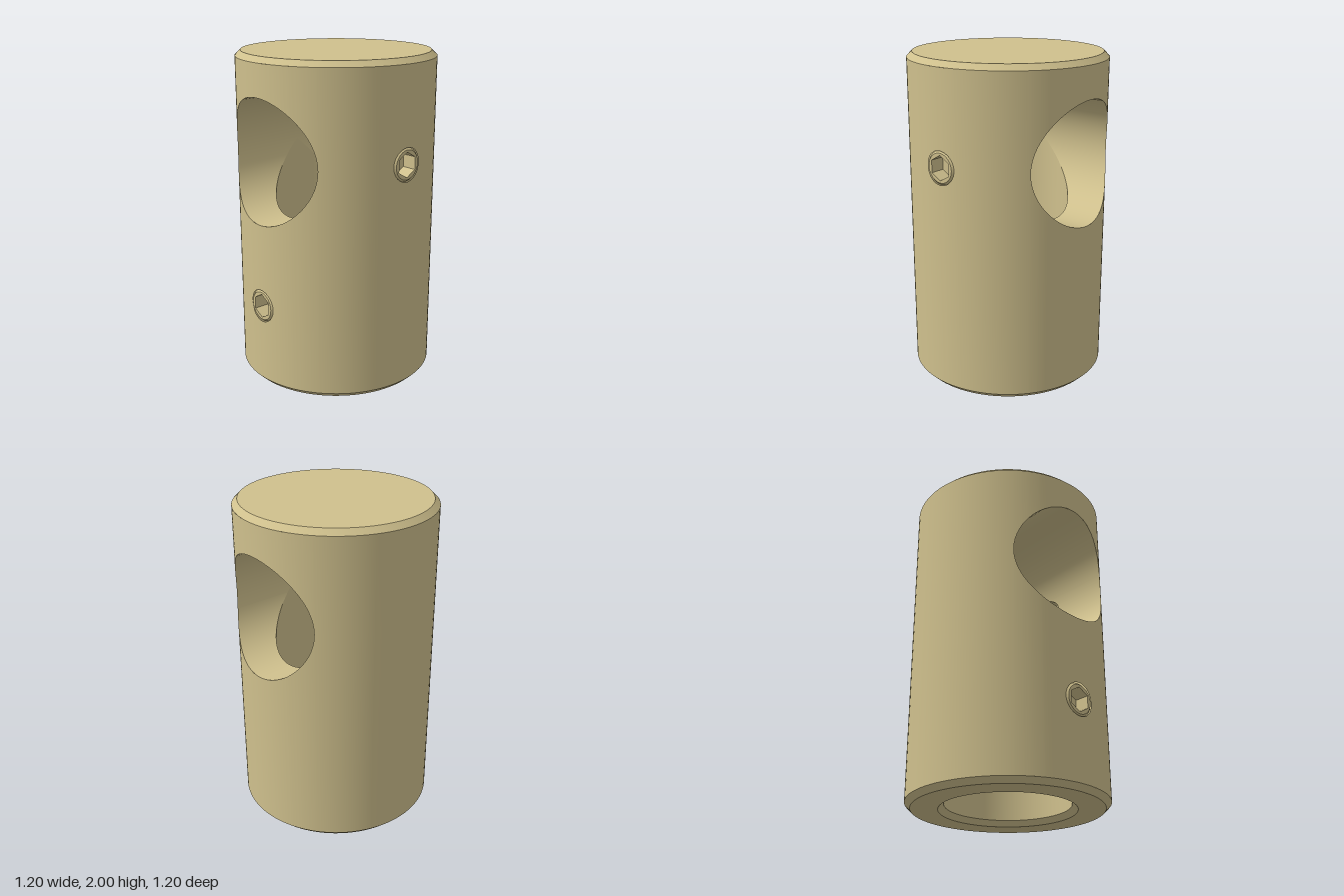
import * as THREE from 'three';
import { mergeGeometries, toCreasedNormals } from 'three/addons/utils/BufferGeometryUtils.js';

const R = 0.6;        // outer radius
const B = 0.373;      // radius of both bores
const C = 0.033;      // chamfer
const S = 0.1;        // set screw radius
const CROSS_Y = 1.4;  // height of cross bore and side screw
const SCREW_Y = 0.515; // height of front screw
const SEAT = 0.44;    // distance of the screw's inner end from the axis

const root = (v) => Math.sqrt(Math.max(0, v));

// Sorted angles round a cylinder, refined where holes [centre angle, hole radius] cut it
function angles(radius, holes) {
  const list = [];
  for (let i = 0; i <= 96; i++) list.push((i / 96) * Math.PI * 2);
  for (const [centre, r] of holes) {
    for (let i = -16; i <= 16; i++) {
      const a = centre + Math.asin((r / radius) * Math.sin((i / 32) * Math.PI));
      list.push((a + Math.PI * 2) % (Math.PI * 2));
    }
  }
  list.sort((a, b) => a - b);
  return list.filter((a, i) => i === 0 || a - list[i - 1] > 1e-5);
}

// Half height of a round hole at angle a on a cylinder
function half(a, radius, centre, r) {
  if (Math.cos(a - centre) <= 0) return 0;
  return root(r * r - (radius * Math.sin(a - centre)) ** 2);
}

// Ruled surface between two edge curves over a list of angles
function strip(list, from, to) {
  const pos = [], index = [];
  list.forEach((a, i) => {
    pos.push(...from(a), ...to(a));
    if (i) {
      const k = i * 2;
      index.push(k - 2, k, k - 1, k, k + 1, k - 1);
    }
  });
  const g = new THREE.BufferGeometry();
  g.setAttribute('position', new THREE.Float32BufferAttribute(pos, 3));
  g.setIndex(index);
  return g;
}

// Band of an upright cylinder between two heights that depend on the angle
function band(list, radius, lo, hi) {
  const at = (y) => (a) => [radius * Math.sin(a), y(a), radius * Math.cos(a)];
  return strip(list, at(lo), at(hi));
}

function join(parts) {
  const clean = parts.map((p) => {
    const g = p.index ? p.toNonIndexed() : p;
    g.deleteAttribute('uv');
    g.deleteAttribute('normal');
    return g;
  });
  return toCreasedNormals(mergeGeometries(clean), 0.6);
}

function lathe(points) {
  return new THREE.LatheGeometry(points.map(([x, y]) => new THREE.Vector2(x, y)), 96);
}

// Outer wall with openings for the cross bore and both screws
function outerWall() {
  const q = Math.PI / 2;
  const list = angles(R, [[0, B], [Math.PI, B], [0, S], [q, S]]);
  const screw = (a) => half(a, R, 0, S);
  const bore = (a) => Math.max(half(a, R, 0, B), half(a, R, Math.PI, B), half(a, R, q, S));
  return join([
    band(list, R, () => C, (a) => SCREW_Y - screw(a)),
    band(list, R, (a) => SCREW_Y + screw(a), (a) => CROSS_Y - bore(a)),
    band(list, R, (a) => CROSS_Y + bore(a), () => 2 - C),
    lathe([[B, C], [B + C, 0], [R - C, 0], [R, C]]),
    lathe([[R, 2 - C], [R - C, 2], [0, 2]]),
  ]);
}

// Vertical bore, running up into the cross bore
function verticalBore() {
  const q = Math.PI / 2;
  const list = angles(B, [[0, S], [q, S]]);
  const screw = (a) => half(a, B, 0, S);
  const top = (a) => CROSS_Y - Math.max(Math.abs(B * Math.cos(a)), half(a, B, q, S));
  return join([
    band(list, B, () => C, (a) => SCREW_Y - screw(a)),
    band(list, B, (a) => SCREW_Y + screw(a), top),
  ]);
}

// Cross bore from front to back, opened below by the vertical bore
function crossBore() {
  const q = Math.PI / 2;
  const list = angles(B, [[q, S]]);
  const inner = (a) => Math.max(Math.cos(a) < 0 ? -B * Math.cos(a) : 0, half(a, B, q, S));
  const outer = (a) => root(R * R - (B * Math.sin(a)) ** 2);
  const at = (z) => (a) => [B * Math.sin(a), CROSS_Y + B * Math.cos(a), z(a)];
  return join([
    strip(list, at(inner), at(outer)),
    strip(list, at((a) => -outer(a)), at((a) => -inner(a))),
  ]);
}

// Short lining from the bore wall to the screw's end, along +z
function screwHole(start) {
  const list = angles(S, []);
  return join([strip(list,
    (a) => [S * Math.sin(a), S * Math.cos(a), start(S * Math.sin(a), S * Math.cos(a))],
    (a) => [S * Math.sin(a), S * Math.cos(a), SEAT])]);
}

// Set screw along +z with a chamfered rim and hexagon socket
function setScrew() {
  const rim = 0.087, hex = 0.074, depth = 0.09;
  const shell = lathe([[0, SEAT], [S, SEAT], [S, R - 0.014], [rim, R]]).rotateX(Math.PI / 2);
  // the lathe axis turned onto z keeps its direction
  const face = new THREE.Shape().absarc(0, 0, rim, 0, Math.PI * 2);
  const hole = new THREE.Path();
  for (let i = 0; i <= 6; i++) {
    const a = (i / 6) * Math.PI * 2;
    hole[i ? 'lineTo' : 'moveTo'](hex * Math.sin(a), hex * Math.cos(a));
  }
  face.holes.push(hole);
  const socket = new THREE.CylinderGeometry(hex, hex, depth, 6, 1, true)
    .scale(-1, 1, 1).rotateX(Math.PI / 2).rotateZ(0).translate(0, 0, R - depth / 2);
  const floor = new THREE.CircleGeometry(hex, 6).rotateZ(Math.PI / 2).translate(0, 0, R - depth);
  return join([shell, new THREE.ShapeGeometry(face, 48).translate(0, 0, R), socket, floor]);
}

export function createModel() {
  const model = new THREE.Group();
  model.name = 'crossConnector';
  const brass = new THREE.MeshStandardMaterial({ color: 0xcfc08d, side: THREE.DoubleSide });
  brass.name = 'paleBrass';

  function add(parent, name, geometry) {
    const mesh = new THREE.Mesh(geometry, brass);
    mesh.name = name;
    parent.add(mesh);
  }

  add(model, 'outerBody', outerWall());
  add(model, 'verticalBore', verticalBore());
  add(model, 'crossBore', crossBore());

  // Front screw clamps the vertical bore, left screw clamps the cross bore
  const screws = [
    ['frontSetScrew', SCREW_Y, 0, (u) => root(B * B - u * u)],
    ['leftSetScrew', CROSS_Y, Math.PI / 2, (u, v) =>
      Math.max(root(B * B - v * v), v < 0 ? root(B * B - u * u) : 0)],
  ];
  for (const [name, y, turn, start] of screws) {
    const group = new THREE.Group();
    group.name = name;
    group.position.y = y;
    group.rotation.y = turn;
    add(group, 'screw', setScrew());
    add(group, 'screwHole', screwHole(start));
    model.add(group);
  }
  return model;
}
